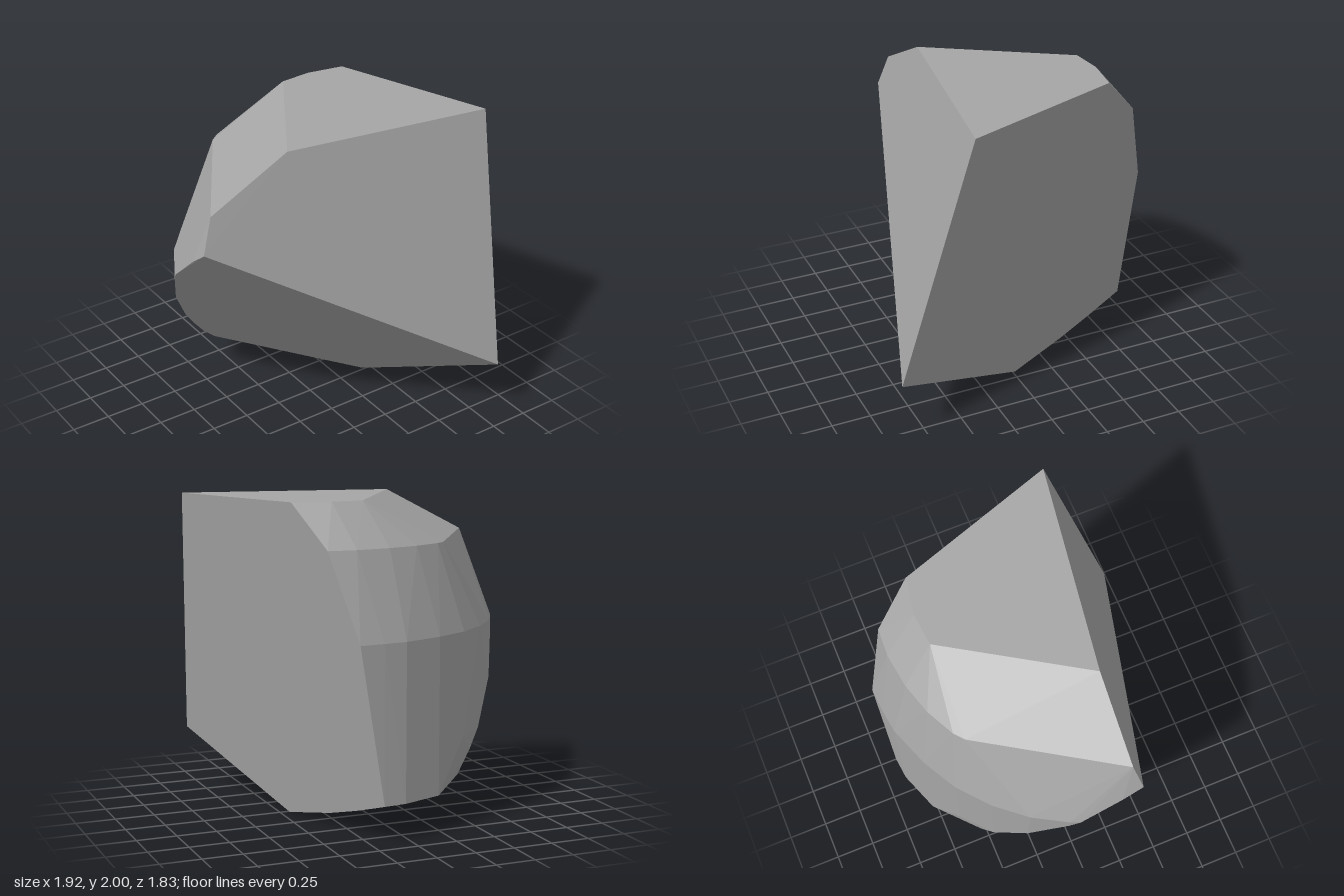
import * as THREE from 'three';
import { ConvexGeometry } from 'three/addons/geometries/ConvexGeometry.js';

// The three flat fracture planes; each returns the missing coordinate.
const sideCut = (y, z) => [(0.45 + 0.174 * y + 0.35 * z) / 1.01, y, z];
const lowerCut = (x, y) => [x, y, (-0.584 + 1.2736 * x + 1.4385 * y) / 1.1528];
const frontCut = (x, y) => [x, y, 0.49 + (0.4576 * (x - 0.96) - 0.827 * (y - 2)) / 3.01];

// Points [x, z] lying at one height.
const ring = (y, pts) => pts.map(([x, z]) => [x, y, z]);

export function createModel() {
  const stone = new THREE.MeshStandardMaterial({ color: 0xa6a6a6 });
  stone.name = 'stoneGrey';

  const points = [
    // flat top
    sideCut(2, 0.49), sideCut(2, -0.525), frontCut(-0.36, 2),
    ...ring(2, [[0.37, -0.565], [0.165, -0.545]]),
    // upper bevel
    sideCut(1.735, -0.77), frontCut(-0.885, 1.73),
    ...ring(1.735, [[0.3, -0.78], [0.08, -0.75], [-0.12, -0.69], [-0.3, -0.6], [-0.36, -0.55]]),
    // top of the upright rounded wall
    sideCut(1.2, -0.915), lowerCut(-0.945, 1.2),
    ...ring(1.2, [[0.18, -0.905], [0.03, -0.885], [-0.23, -0.79], [-0.45, -0.67],
      [-0.64, -0.51], [-0.8, -0.32], [-0.92, -0.11]]),
    // foot of the wall, where the lower cut slices through it
    sideCut(0.23, -0.9), lowerCut(-0.36, 0.23),
    ...ring(0.23, [[0.03, -0.885], [-0.23, -0.79]]),
    [-0.45, 0.55, -0.67],
    lowerCut(-0.44, 0.3), lowerCut(-0.55, 0.44), lowerCut(-0.635, 0.56),
    lowerCut(-0.795, 0.84), lowerCut(-0.92, 1.13), lowerCut(-0.965, 1.42),
    // sharp corners and the slightly bowed underside
    [-0.965, 1.52, 0.33], [0.83, 0.4, 0.91], sideCut(0, -0.015),
    sideCut(0.08, -0.4), sideCut(0.15, -0.65),
  ].map((p) => new THREE.Vector3(...p));

  const chunk = new THREE.Mesh(new ConvexGeometry(points), stone);
  chunk.name = 'rockChunk';

  const group = new THREE.Group();
  group.name = 'rockFragment';
  group.add(chunk);
  return group;
}
